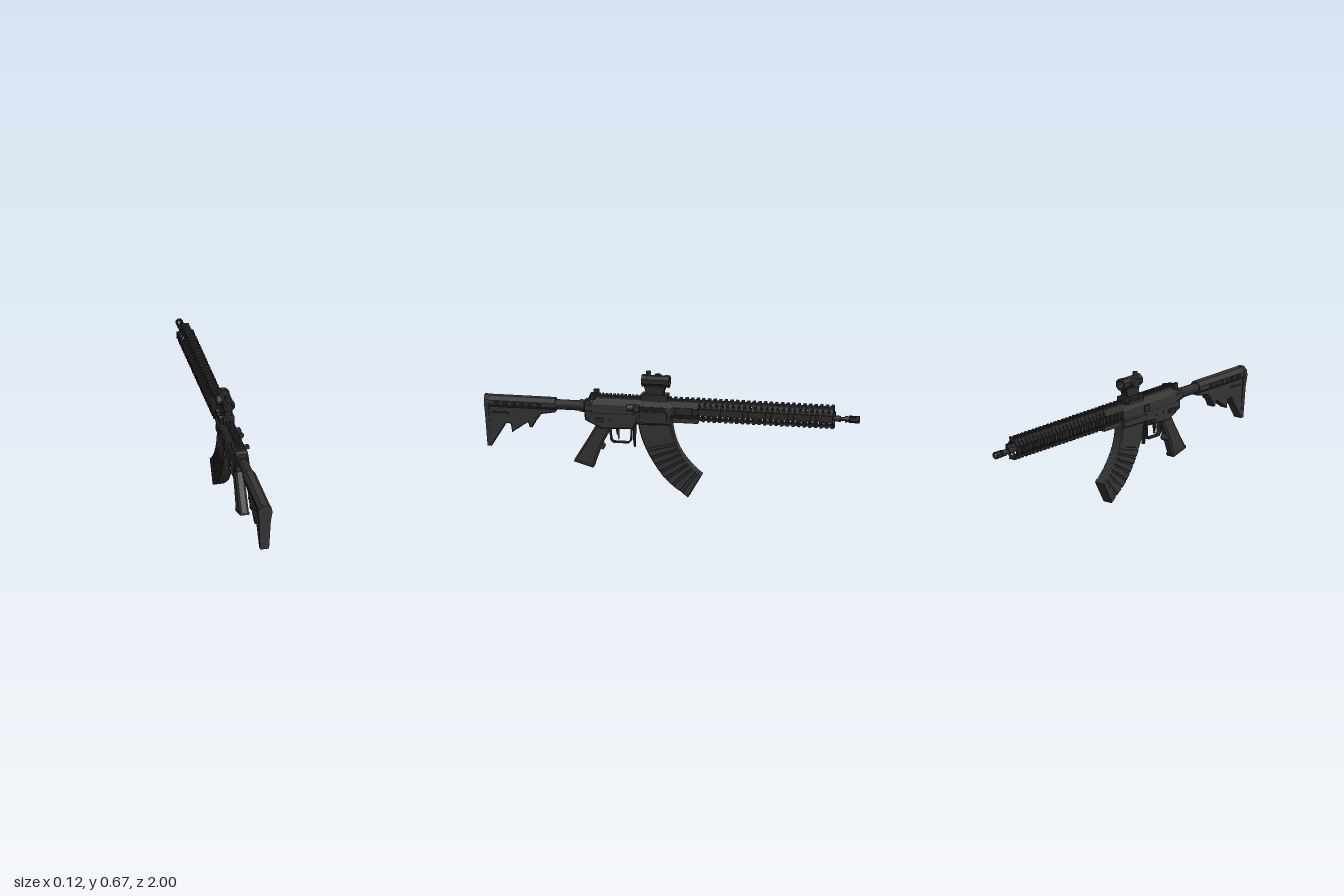
import * as THREE from 'three';

const mat = (name, color) => {
  const m = new THREE.MeshStandardMaterial({ color });
  m.name = name;
  return m;
};

export function createModel() {
  const polymer = mat('charcoal polymer', 0x353535);
  const metal = mat('dark metal', 0x2c2c2c);
  const black = mat('black recess', 0x1d1d1d);
  const root = new THREE.Group();
  root.name = 'rifle';
  root.position.x = -0.006;

  const add = (name, geo, m, parent = root) => {
    const mesh = new THREE.Mesh(geo, m);
    mesh.name = name;
    parent.add(mesh);
    return mesh;
  };
  const group = (name) => {
    const g = new THREE.Group();
    g.name = name;
    root.add(g);
    return g;
  };
  const toShape = (pts) => new THREE.Shape(pts.map(([a, b]) => new THREE.Vector2(a, b)));
  // Box given by its limits on each axis
  const box = (name, [x0, x1], [y0, y1], [z0, z1], m, parent) => {
    const b = add(name, new THREE.BoxGeometry(x1 - x0, y1 - y0, z1 - z0), m, parent);
    b.position.set((x0 + x1) / 2, (y0 + y1) / 2, (z0 + z1) / 2);
    return b;
  };
  // Side profile of [z, y] points, given a width across x and chamfered edges
  const side = (name, pts, width, m, bevel = 0.006, parent = root) => {
    const geo = new THREE.ExtrudeGeometry(toShape(pts), {
      depth: width - 2 * bevel, bevelEnabled: bevel > 0, bevelSize: bevel,
      bevelThickness: bevel, bevelOffset: -bevel, bevelSegments: 1,
    });
    geo.translate(0, 0, bevel - width / 2).rotateY(-Math.PI / 2);
    return add(name, geo, m, parent);
  };
  // Cross-section of [x, y] points run along z, optionally hollow
  const along = (name, pts, z0, z1, m, hole, parent = root) => {
    const shape = toShape(pts);
    if (hole) shape.holes.push(toShape(hole));
    const geo = new THREE.ExtrudeGeometry(shape, { depth: z1 - z0, bevelEnabled: false });
    return add(name, geo.translate(0, 0, z0), m, parent);
  };
  const octagon = (hw, hh, cx, cy, y) => [[cx, -hh], [hw, -cy], [hw, cy], [cx, hh],
    [-cx, hh], [-hw, cy], [-hw, -cy], [-cx, -hh]].map(([a, b]) => [a, b + y]);
  const ngon = (n, r, y) => Array.from({ length: n }, (_, i) => {
    const a = (i + 0.5) * 2 * Math.PI / n;
    return [r * Math.cos(a), y + r * Math.sin(a)];
  });
  const rod = (name, r0, r1, y, z0, z1, m, parent) => {
    const c = add(name, new THREE.CylinderGeometry(r0, r1, z1 - z0, 16).rotateX(Math.PI / 2), m, parent);
    c.position.set(0, y, (z0 + z1) / 2);
    return c;
  };
  const pin = (name, r, x0, x1, y, z, m, parent) => {
    const c = add(name, new THREE.CylinderGeometry(r, r, x1 - x0, 12).rotateZ(Math.PI / 2), m, parent);
    c.position.set((x0 + x1) / 2, y, z);
    return c;
  };

  // Shoulder stock
  const stock = group('stock');
  along('stockBody', octagon(0.034, 0.034, 0.017, 0.012, 0.464), 0.62, 0.985, polymer, null, stock);
  side('stockWeb', [[0.985, 0.45], [0.62, 0.45], [0.62, 0.425], [0.695, 0.412], [0.725, 0.37], [0.742, 0.337],
    [0.756, 0.337], [0.765, 0.365], [0.85, 0.305], [0.857, 0.35], [0.88, 0.355], [0.955, 0.232],
    [0.972, 0.232]], 0.05, polymer, 0.005, stock);
  const butt = along('buttPad', [[0.024, 0.226], [0.031, 0.40], [0.039, 0.455], [0.034, 0.482], [0.014, 0.5],
    [-0.014, 0.5], [-0.034, 0.482], [-0.039, 0.455], [-0.031, 0.40], [-0.024, 0.226]], 0, 0.022, polymer, null, stock);
  butt.geometry.applyMatrix4(new THREE.Matrix4().makeShear(0, 0, 0, 0.07, 0, 0));
  butt.geometry.translate(0, 0, 0.943);
  butt.geometry.computeVertexNormals();
  for (const s of [-1, 1]) {
    for (let i = 0; i < 6; i++) {
      const z = 0.69 + i * 0.045;
      box('stockSlot', [s * 0.0345 - 0.001, s * 0.0345 + 0.001], [0.455, 0.473], [z, z + 0.032], black, stock);
    }
    box('stockGroove', [s * 0.025 - 0.001, s * 0.025 + 0.001], [0.405, 0.418], [0.87, 0.96], black, stock);
  }
  pin('adjustmentLever', 0.009, -0.028, 0.028, 0.39, 0.72, metal, stock);
  rod('bufferTube', 0.027, 0.027, 0.464, 0.46, 0.63, metal);
  rod('castleNut', 0.033, 0.033, 0.464, 0.465, 0.49, metal);

  // Receivers
  along('upperReceiver', octagon(0.037, 0.056, 0.018, 0.022, 0.462), 0, 0.42, polymer);
  side('lowerReceiver', [[0.468, 0.495], [0.43, 0.512], [0.40, 0.47], [0.19, 0.46], [0.0, 0.46], [0.0, 0.395],
    [0.19, 0.39], [0.205, 0.358], [0.37, 0.352], [0.46, 0.395]], 0.068, polymer);
  along('receiverEnd', octagon(0.036, 0.04, 0.018, 0.015, 0.462), 0.42, 0.462, polymer);
  side('magazineWell', [[0.0, 0.43], [0.0, 0.39], [0.19, 0.385], [0.19, 0.43]], 0.074, polymer);
  box('ejectionPort', [0.0365, 0.0385], [0.452, 0.485], [0.03, 0.16], black);
  const cover = box('dustCover', [0.046, 0.05], [0.4, 0.458], [0.02, 0.165], metal);
  cover.rotation.z = 0.15;
  side('brassDeflector', [[0.165, 0.46], [0.165, 0.49], [0.2, 0.495], [0.2, 0.45]], 0.03, polymer, 0.004).position.x = 0.042;
  const assist = rod('forwardAssist', 0.017, 0.017, 0.477, 0.185, 0.235, metal);
  assist.position.x = 0.042;
  assist.rotation.y = 0.25;
  box('boltCatch', [-0.046, -0.034], [0.445, 0.48], [0.16, 0.2], metal);
  box('selectorLeft', [-0.047, -0.033], [0.394, 0.412], [0.36, 0.41], metal);
  box('selectorRight', [0.033, 0.048], [0.394, 0.412], [0.36, 0.4], metal);
  box('catchButton', [-0.049, -0.033], [0.37, 0.386], [0.215, 0.245], metal);
  for (const z of [0.03, 0.27, 0.325, 0.44]) pin('receiverPin', 0.007, -0.037, 0.037, 0.405, z, metal);
  box('chargingHandle', [-0.044, 0.046], [0.511, 0.527], [0.405, 0.43], metal);
  box('chargingLatch', [-0.048, -0.03], [0.527, 0.547], [0.398, 0.425], metal);

  // Top rail over the receiver
  box('receiverRail', [-0.02, 0.02], [0.51, 0.524], [0, 0.44], metal);
  for (let i = 0; i < 22; i++) box('receiverRailTooth', [-0.02, 0.02], [0.523, 0.534], [0.004 + i * 0.02, 0.016 + i * 0.02], metal);

  // Grip, trigger and guard
  const grip = group('grip');
  side('gripBody', [[0.405, 0.365], [0.32, 0.362], [0.335, 0.33], [0.365, 0.275], [0.372, 0.262], [0.415, 0.14],
    [0.425, 0.138], [0.515, 0.163], [0.518, 0.175], [0.445, 0.295]], 0.05, polymer, 0.01, grip);
  side('gripBase', [[0.417, 0.136], [0.52, 0.165], [0.515, 0.18], [0.41, 0.15]], 0.054, polymer, 0.004, grip);
  side('fingerRest', [[0.355, 0.25], [0.365, 0.235], [0.39, 0.245], [0.37, 0.275]], 0.038, polymer, 0.004, grip);
  side('triggerGuard', [[0.335, 0.36], [0.328, 0.29], [0.315, 0.274], [0.23, 0.274], [0.215, 0.29], [0.212, 0.36],
    [0.219, 0.36], [0.222, 0.293], [0.233, 0.281], [0.312, 0.281], [0.321, 0.293], [0.327, 0.36]], 0.026, metal, 0);
  side('trigger', [[0.3, 0.36], [0.296, 0.325], [0.28, 0.295], [0.287, 0.292], [0.288, 0.3], [0.283, 0.325], [0.28, 0.36]]
    .map(([z, y]) => [z + 0.0, y]), 0.014, metal, 0);
  side('magazineLever', [[0.207, 0.385], [0.207, 0.3], [0.202, 0.255], [0.195, 0.255], [0.192, 0.385]], 0.022, metal, 0.002);

  // Curved magazine: slim core with wider bands
  const magazine = group('magazine');
  const curve = (pts) => new THREE.CatmullRomCurve3(pts.map(([z, y]) => new THREE.Vector3(z, y, 0)));
  const rear = curve([[0.182, 0.41], [0.155, 0.3], [0.1, 0.19], [0.025, 0.09], [-0.09, 0.002]]);
  const fore = curve([[0.002, 0.41], [-0.014, 0.325], [-0.045, 0.25], [-0.098, 0.18], [-0.16, 0.123]]);
  const slice = (a, b, n) => {
    const pick = (c) => Array.from({ length: n + 1 }, (_, i) => {
      const p = c.getPoint(a + (b - a) * i / n);
      return [p.x, p.y];
    });
    return [...pick(fore), ...pick(rear).reverse()];
  };
  side('magazineCore', slice(0, 1, 14), 0.054, polymer, 0.005, magazine);
  side('magazineNeck', slice(0.02, 0.36, 5), 0.058, polymer, 0.005, magazine);
  for (let i = 0; i < 6; i++) side('magazineBand', slice(0.38 + i * 0.09, 0.455 + i * 0.09, 2), 0.06, polymer, 0.004, magazine);
  side('magazineBase', slice(0.93, 1, 2), 0.062, polymer, 0.003, magazine);

  // Slotted four-rail handguard
  const guard = group('handguard');
  const cy = 0.47, ribs = 29, pitch = 0.03;
  const outer = octagon(0.036, 0.047, 0.017, 0.016, cy);
  const inner = octagon(0.031, 0.041, 0.014, 0.013, cy);
  along('guardSleeve', outer, -0.14, 0, metal, null, guard);
  box('guardLowerPanel', [-0.02, 0.02], [0.402, 0.425], [-0.14, -0.005], polymer, guard);
  box('guardTopRail', [-0.018, 0.018], [0.508, 0.524], [-0.865, 0], metal, guard);
  box('guardBottomRail', [-0.018, 0.018], [0.419, 0.429], [-0.865, 0], metal, guard);
  for (const s of [-1, 1]) box('guardSideRail', [s * 0.035 - 0.004, s * 0.035 + 0.004], [cy - 0.017, cy + 0.017], [-0.865, 0], metal, guard);
  for (let i = 0; i < ribs; i++) {
    const z = [-0.865 + i * pitch, -0.850 + i * pitch];
    if (z[0] < -0.13) along('guardRib', outer, z[0], z[1], metal, inner, guard);
    box('topTooth', [-0.02, 0.02], [0.523, 0.534], z, metal, guard);
    box('bottomTooth', [-0.02, 0.02], [0.413, 0.42], z, metal, guard);
    for (const s of [-1, 1]) box('sideTooth', [s * 0.0415 - 0.0035, s * 0.0415 + 0.0035], [cy - 0.019, cy + 0.019], z, metal, guard);
  }

  // Barrel and open-pronged muzzle
  const barrel = group('barrel');
  const by = 0.465;
  rod('barrelTube', 0.011, 0.011, by, -0.94, -0.1, metal, barrel);
  rod('barrelCollar', 0.016, 0.016, by, -0.9, -0.87, metal, barrel);
  rod('muzzleBase', 0.018, 0.013, by, -0.95, -0.925, metal, barrel);
  for (let i = 0; i < 6; i++) {
    const a = (i + 0.5) * Math.PI / 3;
    const prong = box('muzzleProng', [-0.004, 0.004], [-0.003, 0.003], [-0.995, -0.945], metal, barrel);
    prong.position.x = 0.016 * Math.cos(a);
    prong.position.y = by + 0.016 * Math.sin(a);
    prong.rotation.z = a + Math.PI / 2;
  }
  along('muzzleRing', ngon(12, 0.02, by), -1, -0.986, metal, ngon(12, 0.012, by), barrel);

  // Optic on a raised mount
  const optic = group('optic');
  const oy = 0.619;
  along('opticTube', ngon(8, 0.03, oy), 0.02, 0.15, metal, ngon(8, 0.021, oy), optic);
  for (const z of [0.012, 0.132]) along('opticRim', ngon(8, 0.033, oy), z, z + 0.028, metal, ngon(8, 0.021, oy), optic);
  side('opticMount', [[0.148, 0.595], [0.14, 0.565], [0.138, 0.54], [0.045, 0.54], [0.04, 0.565], [0.03, 0.595]], 0.044, metal, 0.004, optic);
  box('mountBase', [-0.03, 0.03], [0.512, 0.55], [0.02, 0.16], metal, optic);
  box('mountClamp', [-0.046, -0.03], [0.514, 0.53], [0.03, 0.15], metal, optic);
  for (const z of [0.055, 0.125]) pin('clampNut', 0.01, -0.048, -0.03, 0.538, z, metal, optic);
  pin('brightnessDial', 0.025, -0.053, -0.027, 0.622, 0.085, metal, optic);
  const cap = add('elevationCap', new THREE.CylinderGeometry(0.013, 0.013, 0.022, 12), metal, optic);
  cap.position.set(-0.005, 0.657, 0.127);

  return root;
}
